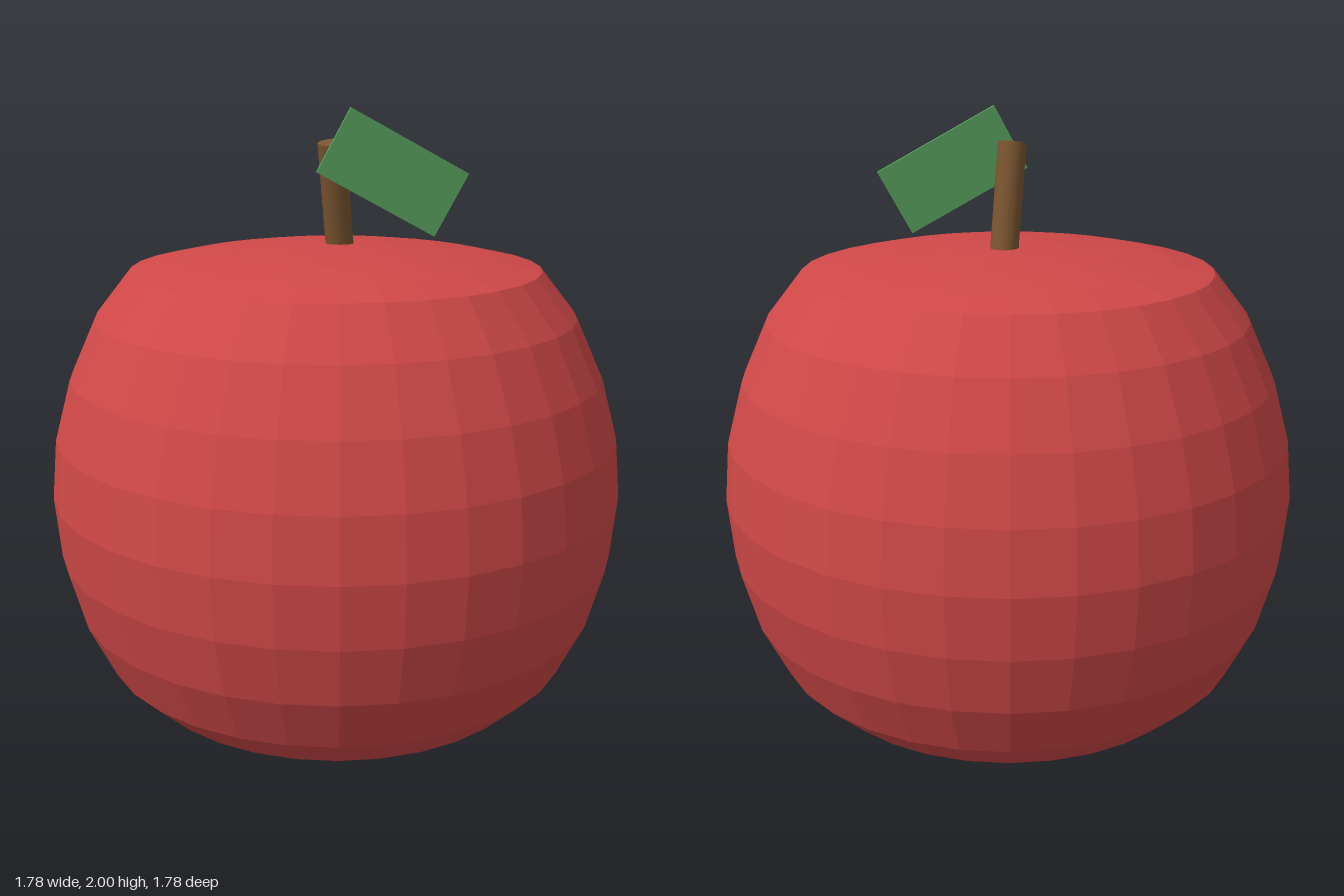
import * as THREE from 'three';

function part(name, geometry, color, flatShading) {
  const mesh = new THREE.Mesh(geometry, new THREE.MeshStandardMaterial({ color, flatShading }));
  mesh.name = name;
  return mesh;
}

export function createModel() {
  const model = new THREE.Group();
  model.name = 'apple';

  // Faceted fruit body: rings of a sphere with flattened ends, listed bottom to top
  const radius = 0.89;
  const heights = [0.005, 0.02, 0.05, 0.105, 0.18, 0.285, 0.455, 0.64, 0.83,
    1.015, 1.2, 1.38, 1.52, 1.55, 1.572, 1.585, 1.59];
  const profile = heights.map((y, i) =>
    new THREE.Vector2(i % 16 === 0 ? 0 : radius * Math.sin((i * Math.PI) / 16), y));
  model.add(part('fruit', new THREE.LatheGeometry(profile, 32), 0xd04848, true));

  // Stem leaning towards the front
  const stem = part('stem', new THREE.CylinderGeometry(0.043, 0.043, 0.36, 16), 0x7a5530, false);
  stem.position.set(0, 1.72, -0.002);
  stem.rotation.x = 0.2;
  model.add(stem);

  // Thin slab leaf, turned about the stem and drooping to one side
  const leaf = part('leaf', new THREE.BoxGeometry(0.405, 0.212, 0.022), 0x559a5a, true);
  leaf.position.set(0.182, 1.81, 0);
  leaf.rotation.set(0, 0.5, -0.5, 'YXZ');
  model.add(leaf);

  return model;
}
